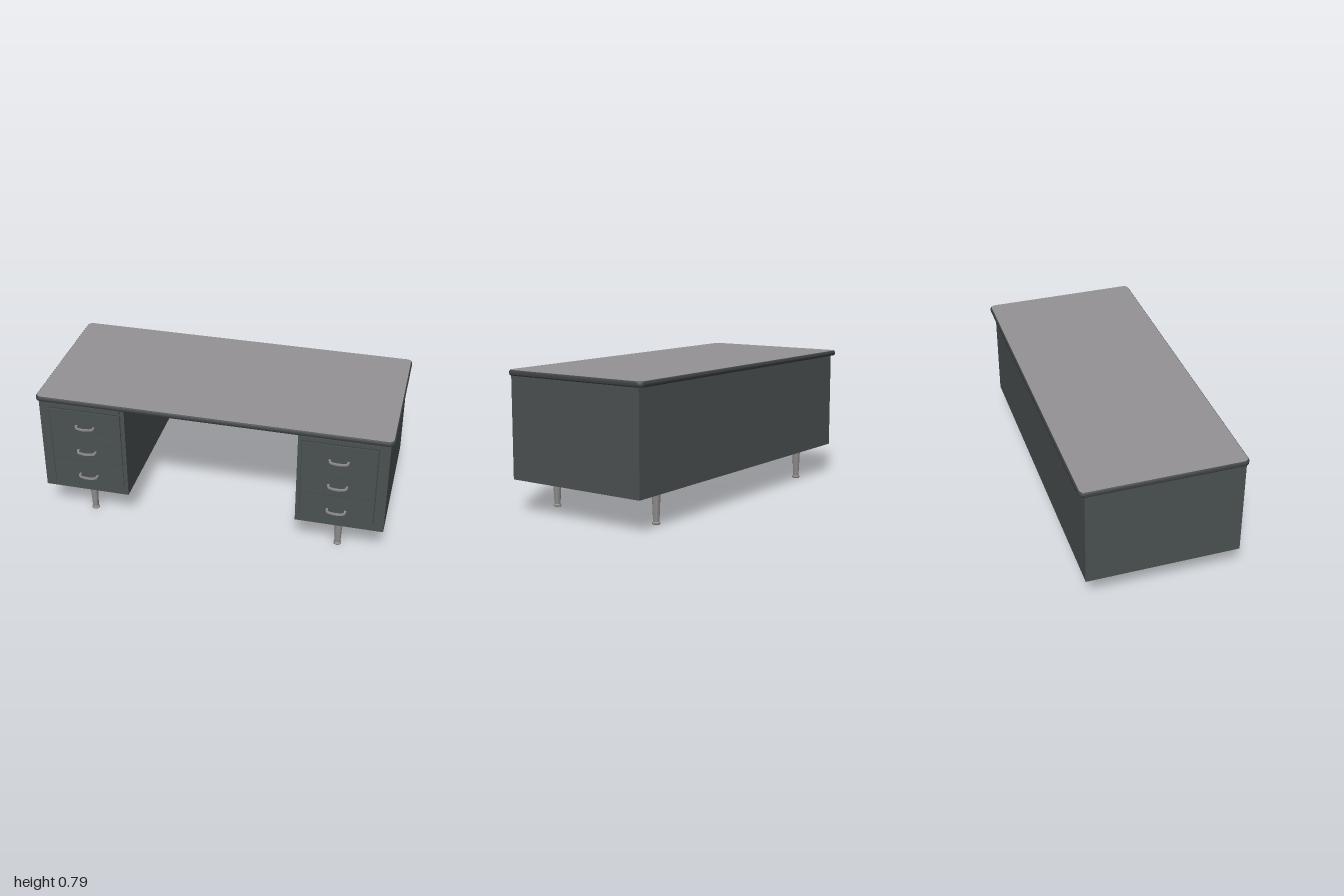
import * as THREE from 'three';
import { toCreasedNormals } from 'three/addons/utils/BufferGeometryUtils.js';

const mat = (name, color) => {
  const m = new THREE.MeshStandardMaterial({ color });
  m.name = name;
  return m;
};

// rectangle with rounded corners, centred on the origin
function roundedRect(w, d, r) {
  const s = new THREE.Shape(), x = w / 2, y = d / 2;
  s.absarc(x - r, y - r, r, 0, Math.PI / 2);
  s.absarc(-x + r, y - r, r, Math.PI / 2, Math.PI);
  s.absarc(-x + r, -y + r, r, Math.PI, Math.PI * 1.5);
  s.absarc(x - r, -y + r, r, Math.PI * 1.5, Math.PI * 2);
  return s;
}

export function createModel() {
  const desk = new THREE.Group();
  desk.name = 'desk';
  const body = mat('dark grey steel', 0x4b5152);
  const trim = mat('dark edge trim', 0x3f4445);
  const surface = mat('grey desktop', 0x949294);
  const metal = mat('brushed metal', 0x8e8c8b);

  const add = (name, geo, material, x = 0, y = 0, z = 0) => {
    const m = new THREE.Mesh(geo, material);
    m.name = name;
    m.position.set(x, y, z);
    desk.add(m);
    return m;
  };
  // box given by its limits on each axis
  const box = (name, material, x0, x1, y0, y1, z0, z1) =>
    add(name, new THREE.BoxGeometry(x1 - x0, y1 - y0, z1 - z0), material,
      (x0 + x1) / 2, (y0 + y1) / 2, (z0 + z1) / 2);

  // desktop: soft-edged slab with an inlaid surface
  const bevel = 0.01;
  const slab = new THREE.ExtrudeGeometry(roundedRect(2 - 2 * bevel, 0.91 - 2 * bevel, 0.022), {
    depth: 0.031 - 2 * bevel, bevelEnabled: true, bevelSize: bevel,
    bevelThickness: bevel, bevelSegments: 4, curveSegments: 8,
  });
  slab.rotateX(-Math.PI / 2);
  add('desktopEdge', toCreasedNormals(slab, 0.7), trim, 0, 0.755 + bevel, -0.016);
  const sheet = new THREE.ExtrudeGeometry(roundedRect(1.986, 0.896, 0.027), {
    depth: 0.003, bevelEnabled: false, curveSegments: 8,
  });
  sheet.rotateX(-Math.PI / 2);
  add('desktopSurface', sheet, surface, 0, 0.784, -0.016);

  // modesty panel across the back of the knee space
  box('backPanel', body, -0.486, 0.486, 0.187, 0.756, -0.44, -0.42);

  // bowed drawer pull, flat in plan with an open middle
  const pull = new THREE.Shape();
  pull.moveTo(-0.056, 0);
  pull.bezierCurveTo(-0.06, 0.03, -0.045, 0.036, -0.03, 0.038);
  pull.quadraticCurveTo(0, 0.048, 0.03, 0.038);
  pull.bezierCurveTo(0.045, 0.036, 0.06, 0.03, 0.056, 0);
  pull.lineTo(0.044, 0);
  pull.bezierCurveTo(0.048, 0.022, 0.04, 0.027, 0.03, 0.029);
  pull.quadraticCurveTo(0, 0.036, -0.03, 0.029);
  pull.bezierCurveTo(-0.04, 0.027, -0.048, 0.022, -0.044, 0);
  const pullGeo = new THREE.ExtrudeGeometry(pull, { depth: 0.01, bevelEnabled: false, curveSegments: 8 });
  pullGeo.rotateX(Math.PI / 2);
  const pullSmooth = toCreasedNormals(pullGeo, 0.6);

  // tapered leg with a rounded foot
  const legProfile = [[0, 0], [0.019, 0], [0.022, 0.003], [0.022, 0.011], [0.019, 0.014],
    [0.017, 0.015], [0.024, 0.184], [0, 0.184]].map(([x, y]) => new THREE.Vector2(x, y));
  const legGeo = toCreasedNormals(new THREE.LatheGeometry(legProfile, 24), 0.7);

  // drawer rows: bottom, top, front face
  const drawers = [[0.229, 0.386, 0.4275], [0.392, 0.55, 0.43], [0.556, 0.717, 0.433]];

  for (const [side, s] of [['left', 1], ['right', -1]]) {
    const span = (a, b) => (s > 0 ? [a, b] : [-b, -a]);
    box(side + 'Pedestal', body, ...span(0.486, 0.981), 0.187, 0.756, -0.44, 0.425);
    box(side + 'DrawerGap', trim, ...span(0.507, 0.925), 0.227, 0.724, 0.42, 0.4258);
    box(side + 'PullOutBoard', body, ...span(0.51, 0.922), 0.733, 0.754, 0.4, 0.436);
    drawers.forEach(([y0, y1, z], i) => {
      box(`${side}Drawer${i + 1}`, body, ...span(0.511, 0.919), y0, y1, 0.41, z);
      add(`${side}DrawerPull${i + 1}`, pullSmooth, metal, s * 0.715, 0.3 + i * 0.1645, 0.429);
    });
    for (const [end, z] of [['Front', 0.344], ['Back', -0.349]]) {
      add(side + end + 'Leg', legGeo, metal, s * 0.724, 0, z);
      box(side + end + 'LegPlate', trim, ...span(0.676, 0.772), 0.182, 0.1875, z - 0.046, z + 0.046);
    }
  }
  return desk;
}
